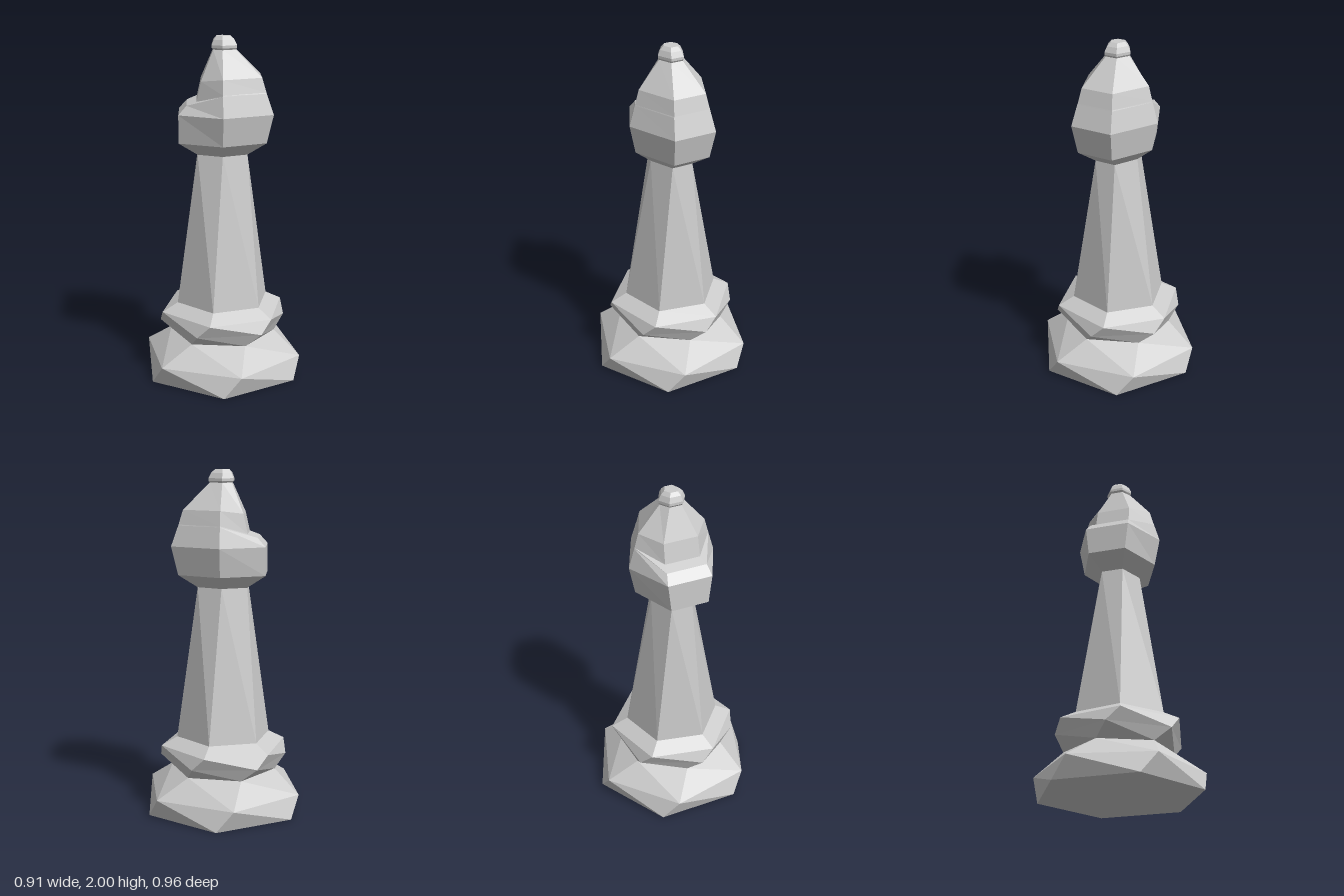
import * as THREE from 'three';

const material = new THREE.MeshStandardMaterial({ color: 0xcccccc, flatShading: true });

// Six corners, counterclockwise seen from above, starting at the front
function hexRing(y, r, twist = 0, sx = 1) {
  return Array.from({ length: 6 }, (_, i) => {
    const a = THREE.MathUtils.degToRad(twist + i * 60);
    return [r * sx * Math.sin(a), y, r * Math.cos(a)];
  });
}

// Hexagon with its own left and right reach: mid corner, +x pair, -x pair
function skewRing([my, mz], [rx, ry, rz], [lx, ly, lz]) {
  return [[0, my, mz], [rx, ry, rz], [rx, ry, -rz], [0, my, -mz], [lx, ly, -lz], [lx, ly, lz]];
}

// Skin a stack of rings, with optional flat caps
function loft(name, rings, capBottom = false, capTop = false) {
  const n = 6, index = [];
  for (let k = 0; k < rings.length - 1; k++) {
    for (let i = 0; i < n; i++) {
      const j = (i + 1) % n, a = k * n, b = a + n;
      index.push(a + i, a + j, b + i, a + j, b + j, b + i);
    }
  }
  const top = (rings.length - 1) * n;
  for (let i = 1; i < n - 1; i++) {
    if (capBottom) index.push(0, i + 1, i);
    if (capTop) index.push(top, top + i, top + i + 1);
  }
  const indexed = new THREE.BufferGeometry();
  indexed.setAttribute('position', new THREE.Float32BufferAttribute(rings.flat(2), 3));
  indexed.setIndex(index);
  const geometry = indexed.toNonIndexed();
  geometry.computeVertexNormals();
  const mesh = new THREE.Mesh(geometry, material);
  mesh.name = name;
  return mesh;
}

export function createModel() {
  const group = new THREE.Group();
  group.name = 'chessBishop';

  // Each ring of the foot turns a further 12 degrees
  const neck = hexRing(0.24, 0.312, 24);
  const collarTop = hexRing(0.44, 0.28, 48);
  group.add(loft('base', [hexRing(0, 0.48), hexRing(0.12, 0.48, 12), neck], true));
  group.add(loft('collar', [neck, hexRing(0.315, 0.374, 36), hexRing(0.39, 0.375, 48), collarTop]));
  group.add(loft('shaft', [collarTop, hexRing(1.33, 0.127, 60, 1.3)]));

  // Head: stretched sideways, with a notch cut into the -x side
  const headTop = skewRing([1.925, 0.07], [0.075, 1.925, 0.035], [-0.052, 1.925, 0.035]);
  group.add(loft('head', [
    hexRing(1.33, 0.127, 0, 1.3),
    hexRing(1.405, 0.222, 0, 1.3),
    skewRing([1.57, 0.255], [0.287, 1.57, 0.127], [-0.25, 1.57, 0.13]),
    skewRing([1.687, 0.221], [0.247, 1.687, 0.111], [-0.204, 1.622, 0.117]), // notch lip
    skewRing([1.693, 0.219], [0.245, 1.693, 0.109], [-0.147, 1.642, 0.103]), // notch floor
    skewRing([1.775, 0.196], [0.221, 1.775, 0.098], [-0.122, 1.755, 0.1]),
    headTop,
  ]));

  // Small knob on top
  const knobRing = (y, r) => skewRing([y, r], [r * 1.06, y, r / 2], [-r * 0.78, y, r / 2]);
  group.add(loft('finial', [
    headTop, knobRing(1.935, 0.077), knobRing(1.95, 0.077), knobRing(1.98, 0.063), knobRing(2, 0.043),
  ], false, true));

  return group;
}
